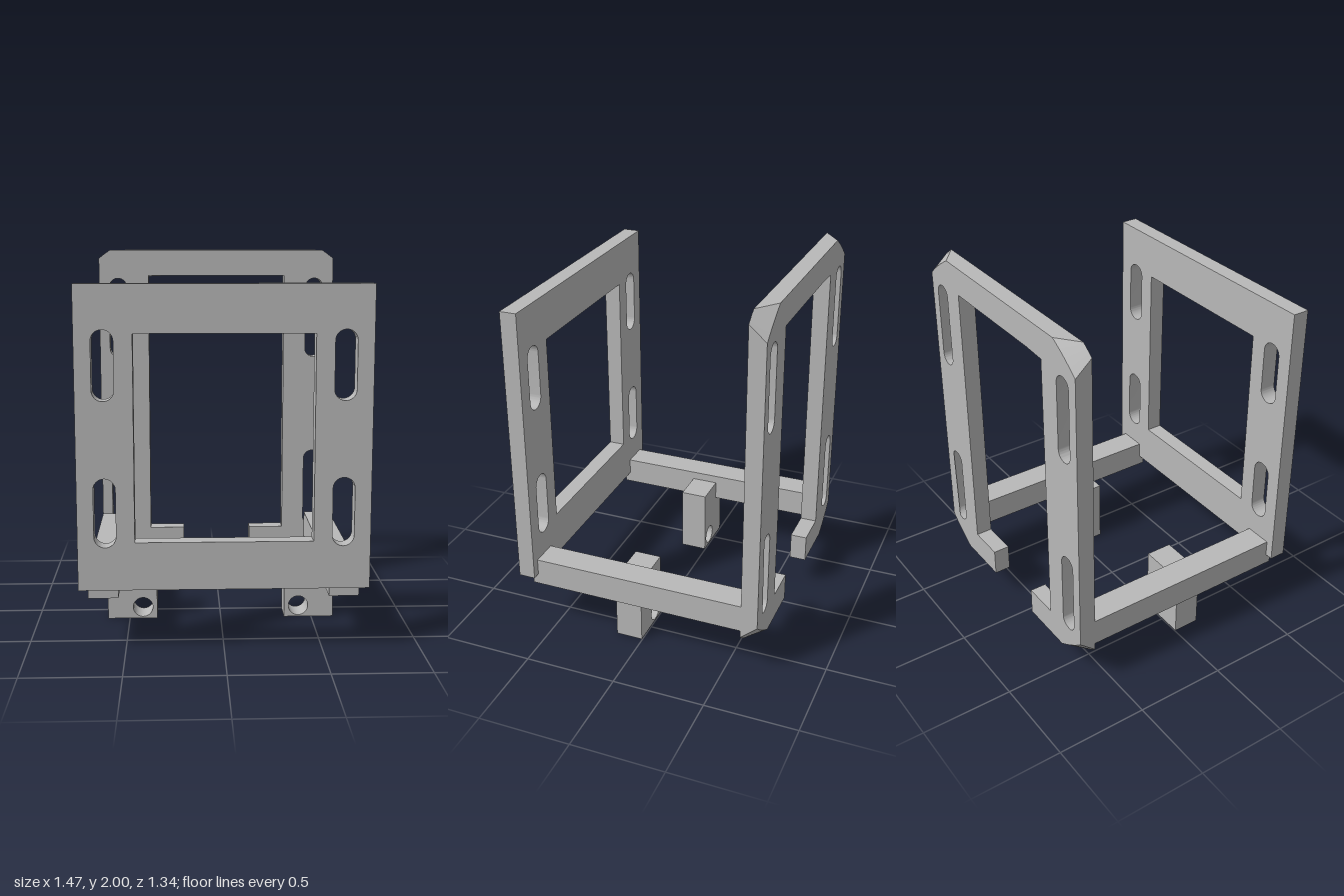
import * as THREE from 'three';
import { toCreasedNormals } from 'three/addons/utils/BufferGeometryUtils.js';

const grey = new THREE.MeshStandardMaterial({ color: 0xb8b8b8 });
grey.name = 'grey plastic';

function rect(Type, x0, y0, x1, y1) {
  const p = new Type();
  p.moveTo(x0, y0); p.lineTo(x1, y0); p.lineTo(x1, y1); p.lineTo(x0, y1); p.closePath();
  return p;
}

// Upright slot with round ends
function slot(cx, y0, y1, r) {
  const p = new THREE.Path();
  p.moveTo(cx + r, y0 + r);
  p.lineTo(cx + r, y1 - r);
  p.absarc(cx, y1 - r, r, 0, Math.PI, false);
  p.lineTo(cx - r, y0 + r);
  p.absarc(cx, y0 + r, r, Math.PI, Math.PI * 2, false);
  return p;
}

function extrude(shape, depth) {
  return new THREE.ExtrudeGeometry(shape, { depth, bevelEnabled: false, curveSegments: 14 });
}

function add(group, name, geometry, x, y, z) {
  const mesh = new THREE.Mesh(geometry, grey);
  mesh.name = name;
  mesh.position.set(x, y, z);
  group.add(mesh);
  return mesh;
}

// Front plate: window and four slots
function frontPlateGeometry() {
  const s = rect(THREE.Shape, -0.733, 0.325, 0.733, 1.85);
  s.holes.push(rect(THREE.Path, -0.447, 0.57, 0.447, 1.61));
  for (const x of [-0.595, 0.595])
    for (const y of [0.545, 1.28]) s.holes.push(slot(x, y, y + 0.35, 0.055));
  return toCreasedNormals(extrude(s, 0.09), 0.4);
}

// Rear frame: open at the bottom, corners trimmed by a cone about its centre
function rearFrameGeometry() {
  const W = 0.69, H = 0.9125, CY = 1.0875, R_FRONT = 1.105, R_BACK = 1.044, N = 10;
  const range = (r) => [Math.acos(W / r), Math.asin(H / r)];
  const [f0, f1] = range(R_FRONT), [b0, b1] = range(R_BACK);
  const pts = [[0.2, CY - H]];
  for (const [sx, sy, flip] of [[1, -1, true], [1, 1, false], [-1, 1, true], [-1, -1, false]]) {
    for (let i = 0; i <= N; i++) {
      const t = flip ? 1 - i / N : i / N;
      const a = f0 + (f1 - f0) * t;
      pts.push([sx * R_FRONT * Math.cos(a), CY + sy * R_FRONT * Math.sin(a)]);
    }
  }
  pts.push([-0.2, CY - H], [-0.2, 0.325], [-0.4, 0.325], [-0.4, 1.85],
    [0.4, 1.85], [0.4, 0.325], [0.2, 0.325]);
  const s = new THREE.Shape(pts.map(([x, y]) => new THREE.Vector2(x, y)));
  for (const x of [-0.58, 0.58])
    for (const y of [0.335, 1.37]) s.holes.push(slot(x, y, y + 0.465, 0.051));

  const g = extrude(s, 0.09);
  const p = g.attributes.position;
  // Draw the corner arcs in to the smaller radius on the back face
  for (let i = 0; i < p.count; i++) {
    const x = p.getX(i), y = p.getY(i) - CY;
    if (p.getZ(i) > 0.045 || Math.abs(Math.hypot(x, y) - R_FRONT) > 1e-4) continue;
    const t = (Math.atan2(Math.abs(y), Math.abs(x)) - f0) / (f1 - f0);
    const a = b0 + (b1 - b0) * t;
    p.setXY(i, Math.sign(x) * R_BACK * Math.cos(a), CY + Math.sign(y) * R_BACK * Math.sin(a));
  }
  g.computeVertexNormals();
  return toCreasedNormals(g, 0.4);
}

// Mounting lug with a round through-hole
function lugGeometry(side) {
  const s = side > 0 ? rect(THREE.Shape, 0.35, 0, 0.62, 0.37) : rect(THREE.Shape, -0.62, 0, -0.35, 0.37);
  const hole = new THREE.Path();
  hole.absarc(side * 0.428, 0.063, 0.054, 0, Math.PI * 2, false);
  s.holes.push(hole);
  return toCreasedNormals(extrude(s, 0.147), 0.4);
}

export function createModel() {
  const model = new THREE.Group();
  model.name = 'bracket';
  add(model, 'frontPlate', frontPlateGeometry(), 0, 0, 0.582);
  add(model, 'rearFrame', rearFrameGeometry(), 0, 0, -0.672);

  // Side rails and lugs, one each side
  for (const side of [1, -1]) {
    const label = side > 0 ? 'left' : 'right';
    add(model, label + 'Rail', new THREE.BoxGeometry(0.153, 0.15, 1.195), side * 0.6125, 0.34, 0.0145);
    add(model, label + 'Lug', lugGeometry(side), 0, 0, 0.004);
  }
  return model;
}
